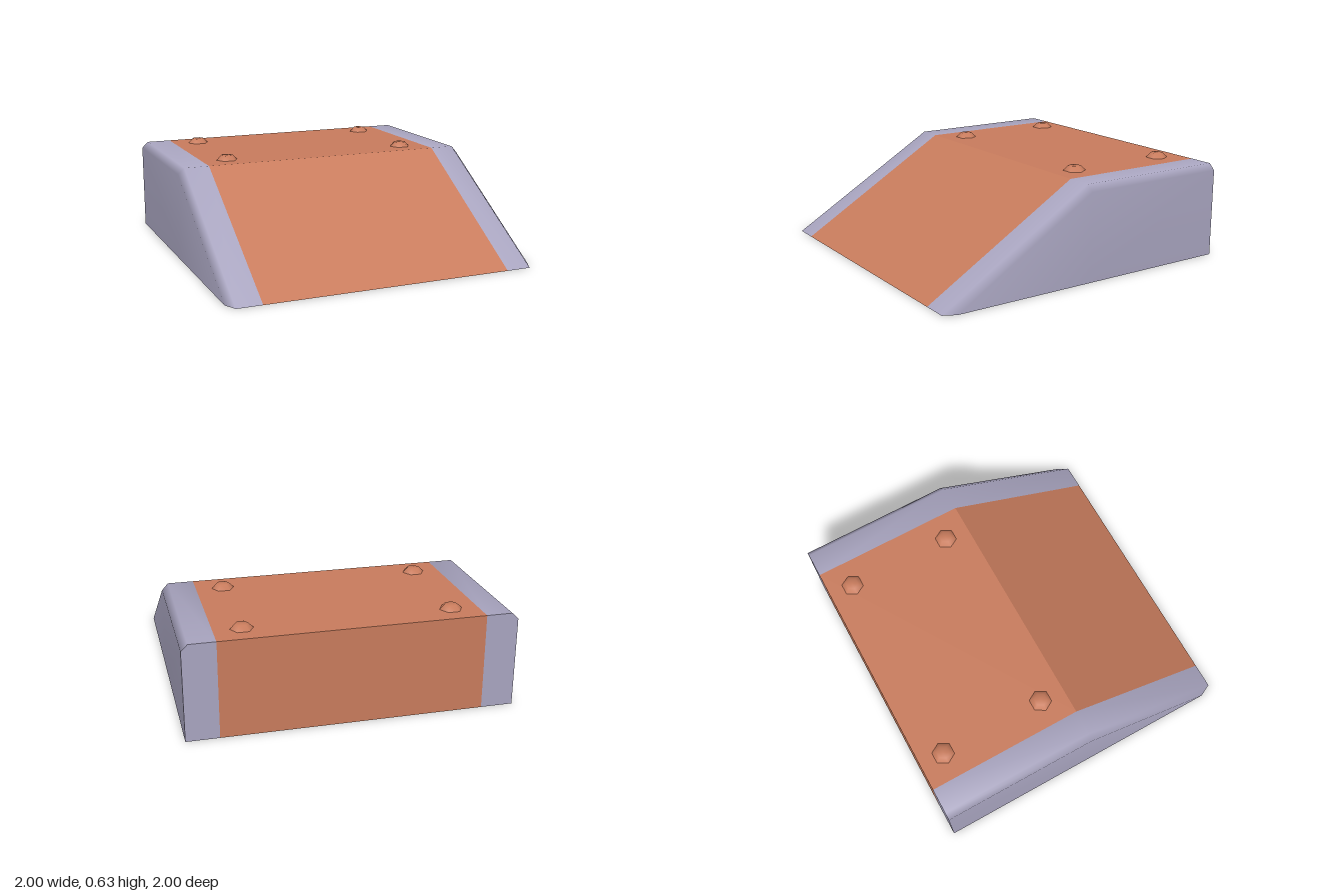
import * as THREE from 'three';
import { mergeVertices } from 'three/addons/utils/BufferGeometryUtils.js';

const paint = new THREE.MeshStandardMaterial({ color: 0xc97c5d });
paint.name = 'terracotta paint';
const metal = new THREE.MeshStandardMaterial({ color: 0xa9a5c0 });
metal.name = 'lavender metal';

function indexed(points, index) {
  const geo = new THREE.BufferGeometry();
  geo.setAttribute('position', new THREE.Float32BufferAttribute(points.flat(), 3));
  geo.setIndex(index);
  return geo;
}

// Convex flat face as a triangle fan; side -1 mirrors it across x
function flatFace(points, side) {
  const index = [];
  for (let i = 1; i < points.length - 1; i++) index.push(0, ...(side > 0 ? [i, i + 1] : [i + 1, i]));
  const geo = indexed(points.map(([x, y, z]) => [x * side, y, z]), index);
  geo.computeVertexNormals();
  return geo;
}

// Smooth bevelled skin: rows run outward and down, columns front to back
function railSkin(side) {
  const rows = [
    [[0.8, 0, 1], [0.8, 0.6, 0], [0.8, 0.6, -1]],
    [[0.96, 0, 1], [0.96, 0.6, 0], [0.96, 0.6, -1]],
    [[1, 0, 0.92], [1, 0.56, -0.01], [1, 0.56, -1]],
    [[1, 0, 0.92], [1, 0, -0.01], [1, 0, -1]],
  ];
  const index = [];
  for (let r = 0; r < 3; r++) {
    for (let c = 0; c < 2; c++) {
      const a = r * 3 + c, b = a + 3, d = a + 1, e = b + 1;
      index.push(...(side > 0 ? [a, b, d, b, e, d] : [a, d, b, b, d, e]));
    }
  }
  const geo = mergeVertices(indexed(rows.flat().map(([x, y, z]) => [x * side, y, z]), index));
  geo.computeVertexNormals();
  return geo;
}

export function createModel() {
  const model = new THREE.Group();
  model.name = 'ramp';
  const add = (name, geo, mat, parent = model) => {
    const mesh = new THREE.Mesh(geo, mat);
    mesh.name = name;
    parent.add(mesh);
    return mesh;
  };

  // Central wedge: side profile extruded across the width
  const profile = new THREE.Shape([[-1, 0], [1, 0], [1, 0.6], [0, 0.6]].map(p => new THREE.Vector2(...p)));
  const body = new THREE.ExtrudeGeometry(profile, { depth: 1.6, bevelEnabled: false });
  body.translate(0, 0, -0.8).rotateY(Math.PI / 2);
  add('rampBody', body, paint);

  // Side rails with bevelled outer edges
  for (const side of [1, -1]) {
    const rail = new THREE.Group();
    rail.name = side > 0 ? 'leftRail' : 'rightRail';
    add('railSkin', railSkin(side), metal, rail);
    add('railBack', flatFace(
      [[0.8, 0, -1], [0.8, 0.6, -1], [0.96, 0.6, -1], [1, 0.56, -1], [1, 0, -1]], side), metal, rail);
    add('railUnderside', flatFace(
      [[0.8, 0, -1], [1, 0, -1], [1, 0, 0.92], [0.96, 0, 1], [0.8, 0, 1]], side), paint, rail);
    model.add(rail);
  }

  // Four hexagonal bolt heads on the deck
  const boltProfile = [[0.07, 0], [0.04, 0.03], [0, 0.03]].map(p => new THREE.Vector2(...p));
  const bolt = new THREE.LatheGeometry(boltProfile, 6, Math.PI / 2);
  for (const x of [-0.632, 0.632]) {
    for (const z of [-0.842, -0.16]) add('bolt', bolt, paint).position.set(x, 0.6, z);
  }
  return model;
}
